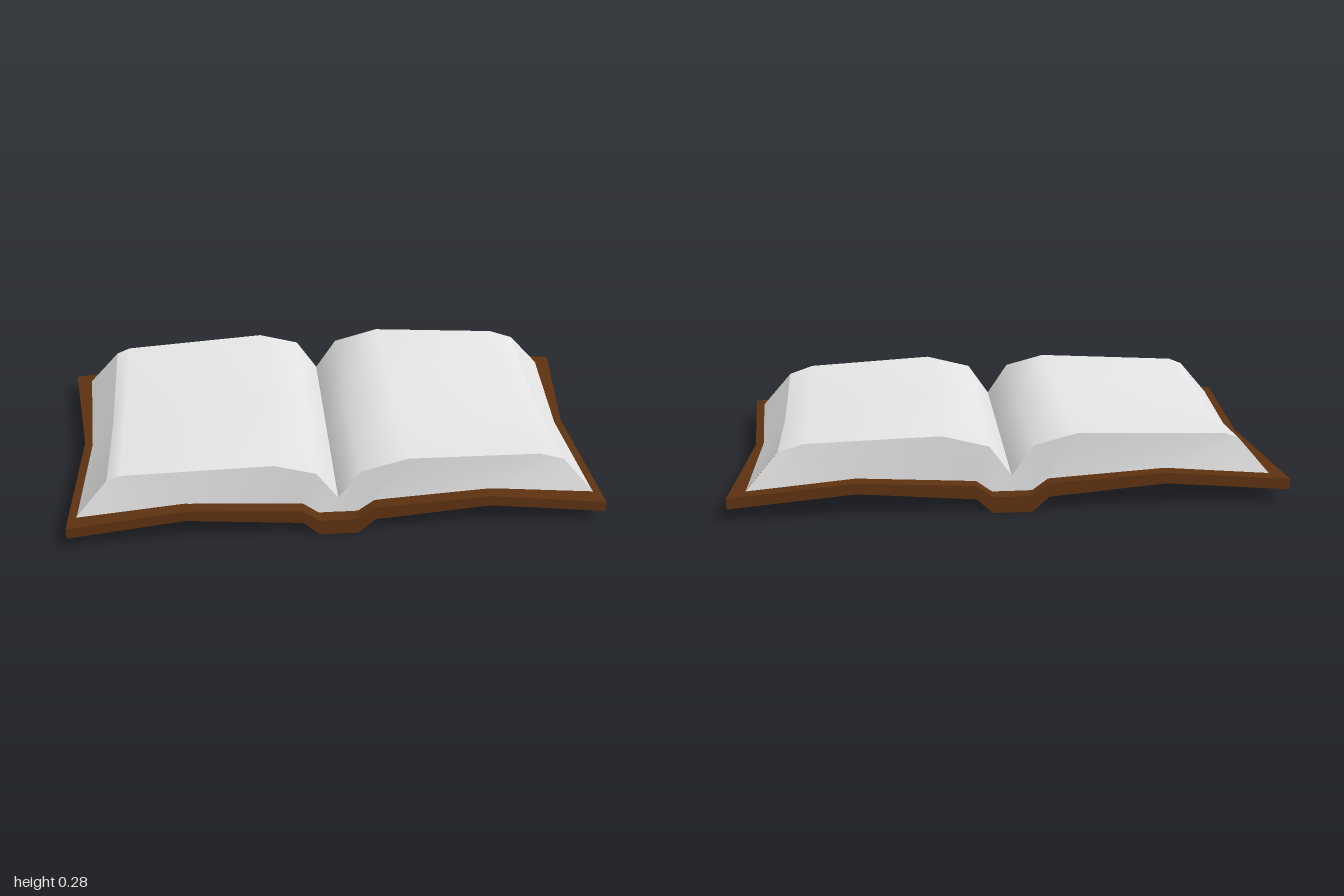
import * as THREE from 'three';
import { toCreasedNormals, mergeVertices } from 'three/addons/utils/BufferGeometryUtils.js';

const V = (x, y, z) => new THREE.Vector3(x, y, z);
const leather = new THREE.MeshStandardMaterial({ color: 0x5e3210 });
leather.name = 'brown leather';
const paper = new THREE.MeshStandardMaterial({ color: 0xebebeb });
paper.name = 'white paper';

// Skin a list of rows of points; faces look up when rows run back to front and points run left to right
function loft(rows) {
  const pos = [], index = [], n = rows[0].length;
  rows.forEach(row => row.forEach(p => pos.push(p.x, p.y, p.z)));
  for (let i = 0; i < rows.length - 1; i++) {
    for (let j = 0; j < n - 1; j++) {
      const a = i * n + j, b = a + n;
      index.push(a, b, a + 1, a + 1, b, b + 1);
    }
  }
  const g = new THREE.BufferGeometry();
  g.setAttribute('position', new THREE.Float32BufferAttribute(pos, 3));
  g.setIndex(index);
  g.computeVertexNormals();
  return g;
}

function part(parent, name, geometry, material) {
  const mesh = new THREE.Mesh(geometry, material);
  mesh.name = name;
  parent.add(mesh);
}

// Mirror half a cross-section, given from the outer edge to the spine, into a full left-to-right row
const mirrored = half => [
  ...half.map(p => V(-p[0], p[1], p[2])),
  ...half.slice().reverse().map(p => V(...p)),
];

function createCover() {
  const group = new THREE.Group();
  group.name = 'cover';
  // Sections at back, middle and front: [x, y, z] of the upper and lower surface
  const top = [
    [[1, 0.09, -0.55], [0.55, 0.13, -0.55], [0.13, 0.105, -0.55], [0.07, 0.06, -0.55]],
    [[0.935, 0.095, -0.02], [0.55, 0.125, -0.02], [0.13, 0.105, -0.06], [0.07, 0.08, -0.1]],
    [[0.97, 0.09, 0.545], [0.55, 0.13, 0.53], [0.13, 0.105, 0.53], [0.07, 0.06, 0.53]],
  ].map(mirrored);
  const bottom = [
    [[1, 0.05, -0.55], [0.55, 0.09, -0.55], [0.13, 0.055, -0.55], [0.07, 0, -0.55]],
    [[0.935, 0.057, -0.02], [0.55, 0.085, -0.02], [0.13, 0.06, -0.06], [0.07, 0.035, -0.1]],
    [[0.97, 0.05, 0.545], [0.55, 0.09, 0.53], [0.13, 0.055, 0.53], [0.07, 0, 0.53]],
  ].map(mirrored);

  const ring = top.map((row, i) => [...row, ...bottom[i].slice().reverse(), row[0]]);
  part(group, 'coverBoards', toCreasedNormals(loft(ring), 0.6), leather);
  part(group, 'coverFrontEdge', toCreasedNormals(loft([top[2], bottom[2]]), 0.4), leather);
  part(group, 'coverBackEdge', toCreasedNormals(loft([bottom[0], top[0]]), 0.4), leather);
  return group;
}

function createPages() {
  const group = new THREE.Group();
  group.name = 'pages';
  // Upper surface, left to right: [x, y at the ends, y in the middle, back z, front z]
  const columns = [
    [-0.82, 0.23, 0.185, -0.482, 0.46],
    [-0.77, 0.25, 0.22, -0.485, 0.463],
    [-0.23, 0.275, 0.262, -0.507, 0.485],
    [-0.08, 0.235, 0.225, -0.505, 0.487],
    [0, 0.12, 0.12, -0.497, 0.475],
    [0.08, 0.235, 0.225, -0.505, 0.487],
    [0.25, 0.28, 0.267, -0.508, 0.487],
    [0.73, 0.26, 0.226, -0.487, 0.465],
    [0.82, 0.23, 0.185, -0.482, 0.46],
  ];
  const top = [
    columns.map(c => V(c[0], c[1], c[3])),
    columns.map(c => V(c[0], c[2], 0)),
    columns.map(c => V(c[0], c[1], c[4])),
  ];
  // Two page spreads, meeting in a sharp gutter
  part(group, 'leftPage', loft(top.map(r => r.slice(0, 5))), paper);
  part(group, 'rightPage', loft(top.map(r => r.slice(4))), paper);

  // Sloping outer edges of the page stacks
  for (const side of [-1, 1]) {
    const foot = [V(side * 0.943, 0.088, -0.5), V(side * 0.91, 0.092, 0), V(side * 0.94, 0.088, 0.48)];
    const rows = foot.map((p, i) => side < 0 ? [p, top[i][0]] : [top[i][8], p]);
    part(group, side < 0 ? 'rightForeEdge' : 'leftForeEdge', loft(rows), paper);
  }

  // Head and tail of the stacks, reaching down into the cover
  const feet = z => mirrored([
    [0.942, 0.088, z], [0.82, 0.1, z], [0.55, 0.12, z], [0.13, 0.095, z], [0.07, 0.055, z],
  ]).toSpliced(5, 0, V(0, 0.055, z));
  const rim = (row, foot) => [foot[0], ...row, foot[10]];
  const frontFeet = feet(0.48), backFeet = feet(-0.5);
  part(group, 'frontPageEdge', toCreasedNormals(loft([rim(top[2], frontFeet), frontFeet]), 0.5), paper);
  part(group, 'backPageEdge', toCreasedNormals(loft([backFeet, rim(top[0], backFeet)]), 0.5), paper);
  return group;
}

export function createModel() {
  const book = new THREE.Group();
  book.name = 'openBook';
  book.add(createCover(), createPages());
  return book;
}
